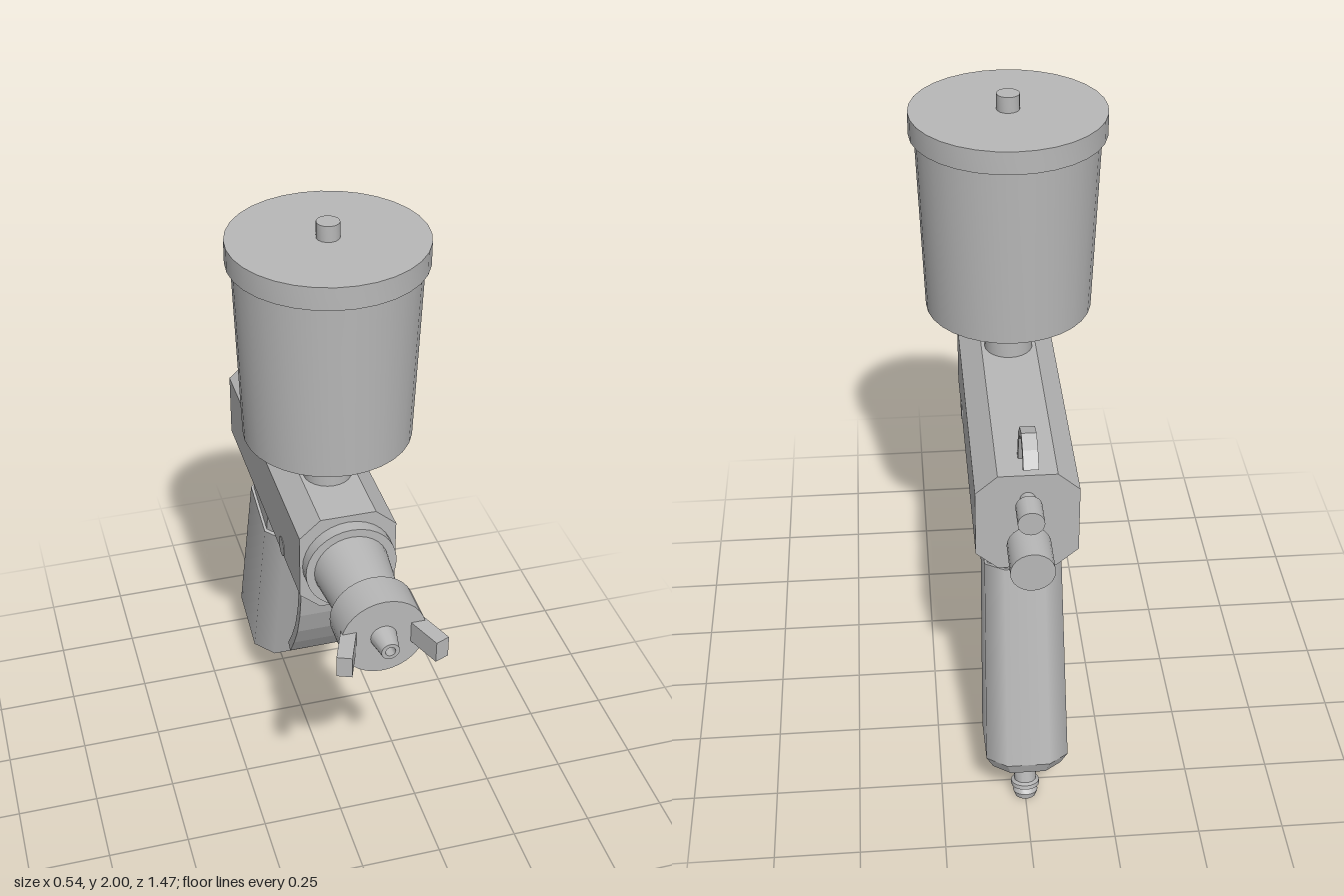
import * as THREE from 'three';
import { toCreasedNormals } from 'three/addons/utils/BufferGeometryUtils.js';

const steel = new THREE.MeshStandardMaterial({ color: 0xb8b8b8 });
steel.name = 'satin steel';

function add(parent, name, geometry, x = 0, y = 0, z = 0) {
  const mesh = new THREE.Mesh(geometry, steel);
  mesh.name = name;
  mesh.position.set(x, y, z);
  parent.add(mesh);
  return mesh;
}

// Turned part: [radius, height] pairs, sharp at the profile corners
function turned(profile, sides = 32) {
  const pts = profile.map(([r, h]) => new THREE.Vector2(r, h));
  return toCreasedNormals(new THREE.LatheGeometry(pts, sides), 0.4);
}

const rod = (r, from, to, sides = 24) => turned([[0, from], [r, from], [r, to], [0, to]], sides);

// Bent flat strip: [z, y] centre line, extruded across x
function strip(path, thickness, width) {
  const pts = path.map(([z, y]) => new THREE.Vector2(z, y));
  const sideA = [], sideB = [];
  pts.forEach((p, i) => {
    const d = pts[Math.min(i + 1, pts.length - 1)].clone().sub(pts[Math.max(i - 1, 0)]).normalize();
    const n = new THREE.Vector2(-d.y, d.x).multiplyScalar(thickness / 2);
    sideA.push(p.clone().add(n));
    sideB.unshift(p.clone().sub(n));
  });
  const geo = new THREE.ExtrudeGeometry(new THREE.Shape([...sideA, ...sideB]), { depth: width, bevelEnabled: false });
  return geo.translate(0, 0, -width / 2).rotateY(-Math.PI / 2);
}

// Eight-sided handle section, long from front to back; scales at top and bottom
function handleSection(top, bottom, yTop, yBottom) {
  const geo = new THREE.CylinderGeometry(1, 1, yTop - yBottom, 8, 1, false, Math.PI / 8);
  const p = geo.attributes.position;
  for (let i = 0; i < p.count; i++) {
    const x = p.getX(i), z = p.getZ(i), s = p.getY(i) > 0 ? top : bottom;
    if (Math.hypot(x, z) < 0.1) continue;
    const wide = Math.abs(x) > Math.abs(z);
    p.setX(i, Math.sign(x) * (wide ? 0.117 : 0.06) * s);
    p.setZ(i, Math.sign(z) * (wide ? 0.1 : 0.152) * s);
  }
  return geo.translate(0, (yTop + yBottom) / 2, 0);
}

export function createModel() {
  const gun = new THREE.Group();
  gun.name = 'sprayGun';
  const axisY = 1.056;

  // Octagonal body
  const half = [[0.08, 0.153], [0.14, 0.1], [0.14, -0.1], [0.08, -0.153]];
  const outline = [...half, ...half.map(([x, y]) => [-x, y]).reverse()];
  const bodyShape = new THREE.Shape(outline.map(([x, y]) => new THREE.Vector2(x, y)));
  add(gun, 'body', new THREE.ExtrudeGeometry(bodyShape, { depth: 0.87, bevelEnabled: false }), 0, axisY, -0.575);

  // Paint cup on its neck, with lid and vent
  const cup = new THREE.Group();
  cup.name = 'paintCup';
  cup.position.z = 0.077;
  gun.add(cup);
  add(cup, 'cupNeck', rod(0.07, 1.19, 1.32));
  add(cup, 'cupBowl', turned([[0, 1.31], [0.147, 1.31], [0.238, 1.36], [0.257, 1.9], [0, 1.9]]));
  add(cup, 'cupLid', rod(0.272, 1.89, 1.955, 32));
  add(cup, 'lidVent', rod(0.032, 1.95, 2.0, 16));

  // Front parts along the nozzle axis
  const front = new THREE.Group();
  front.name = 'nozzleAssembly';
  front.position.y = axisY;
  gun.add(front);
  const along = (parent, name, geo, y = 0) => add(parent, name, geo.rotateX(Math.PI / 2), 0, y);
  along(front, 'flange', rod(0.132, 0.29, 0.333, 32));
  along(front, 'nozzleCone', turned([[0, 0.33], [0.108, 0.33], [0.087, 0.54], [0, 0.54]]));
  along(front, 'airCap', rod(0.119, 0.53, 0.638, 32));
  along(front, 'nozzleTip', turned([[0, 0.63], [0.038, 0.63], [0.025, 0.7], [0.014, 0.7], [0.014, 0.66], [0, 0.66]], 20));
  for (const side of [-1, 1]) {
    const horn = add(front, 'airHorn', new THREE.BoxGeometry(0.042, 0.064, 0.14), side * 0.108, 0, 0.662);
    horn.rotation.y = side * 0.38;
  }

  // Rear adjusting knobs
  const knob = (name, y, stemR, split, r, end) => {
    const geo = turned([[0, end], [r, end], [r, split], [stemR, split], [stemR, -0.57], [0, -0.57]], 24);
    along(gun, name, geo, y);
  };
  knob('fanKnob', 1.133, 0.021, -0.61, 0.036, -0.685);
  knob('fluidKnob', 1.016, 0.03, -0.622, 0.06, -0.74);

  // Hanging hook
  add(gun, 'hook', strip([[-0.48, 1.19], [-0.512, 1.295], [-0.55, 1.335], [-0.59, 1.345],
    [-0.628, 1.325], [-0.655, 1.285]], 0.022, 0.04));

  // Trigger, its pivot and the stop pin
  add(gun, 'trigger', strip([[0.103, 0.94], [0.103, 0.88], [0.099, 0.79], [0.084, 0.71],
    [0.054, 0.625], [0.01, 0.545], [-0.042, 0.468]], 0.028, 0.18));
  add(gun, 'triggerPivot', rod(0.03, -0.142, 0.142, 16).rotateZ(Math.PI / 2), 0, 0.98, 0.09);
  add(gun, 'stopPin', rod(0.024, 0.83, 0.93, 16));

  // Tilted handle with hose connector
  const handle = new THREE.Group();
  handle.name = 'handle';
  handle.position.set(0, 0.79, -0.357);
  handle.rotation.x = 0.263;
  gun.add(handle);
  add(handle, 'handleNeck', toCreasedNormals(handleSection(0.86, 0.86, 0.17, -0.02), 0.1));
  add(handle, 'grip', handleSection(0.93, 1.02, 0, -0.618));
  add(handle, 'gripEnd', toCreasedNormals(handleSection(1.02, 0.85, -0.618, -0.656), 0.1));
  add(handle, 'hoseConnector', turned([[0, -0.808], [0.03, -0.808], [0.037, -0.79], [0.03, -0.775], [0.042, -0.77],
    [0.042, -0.757], [0.032, -0.752], [0.035, -0.7], [0.05, -0.7], [0.05, -0.65], [0, -0.65]], 20));
  return gun;
}
